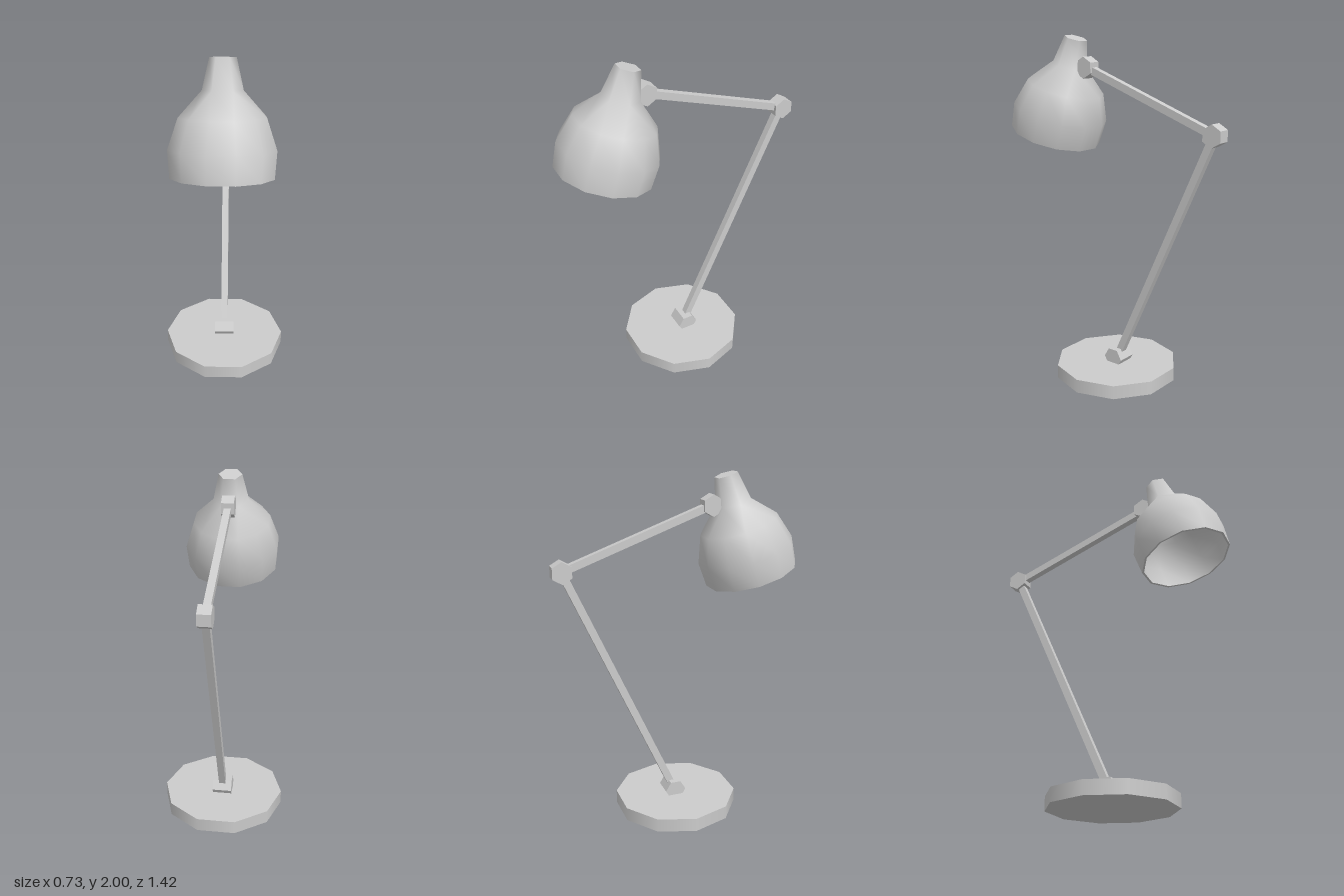
import * as THREE from 'three';
import { mergeVertices } from 'three/addons/utils/BufferGeometryUtils.js';

const smooth = new THREE.MeshStandardMaterial({ color: 0xcccccc });
const flat = new THREE.MeshStandardMaterial({ color: 0xcccccc, flatShading: true });

function addMesh(parent, name, geometry, material) {
  const mesh = new THREE.Mesh(geometry, material);
  mesh.name = name;
  parent.add(mesh);
  return mesh;
}

// Six-sided pivot lying across x; turn sets where its first corner points
function addJoint(parent, name, [y, z], width, turn) {
  const geometry = new THREE.CylinderGeometry(0.062, 0.062, width, 6, 1, false, turn);
  geometry.rotateZ(Math.PI / 2);
  addMesh(parent, name, geometry, flat).position.set(0, y, z);
}

// Square bar between two points in the x = 0 plane
function addArm(parent, name, [y0, z0], [y1, z1]) {
  const length = Math.hypot(y1 - y0, z1 - z0);
  const arm = addMesh(parent, name, new THREE.BoxGeometry(0.04, length, 0.042), flat);
  arm.position.set(0, (y0 + y1) / 2, (z0 + z1) / 2);
  arm.rotation.x = Math.atan2(z1 - z0, y1 - y0);
}

// Skin through rings [height, radius, sides]; on six-sided rings the
// twelve corners meet in pairs
function loft(rings) {
  const positions = [];
  const index = [];
  rings.forEach(([y, r, sides], i) => {
    for (let j = 0; j < 12; j++) {
      const degrees = sides === 6 ? Math.floor((j + 1) / 2) % 6 * 60 : 15 + j * 30;
      const a = THREE.MathUtils.degToRad(degrees);
      positions.push(r * Math.cos(a), y, r * Math.sin(a));
      if (i < rings.length - 1) {
        const k = (j + 1) % 12;
        const a0 = i * 12 + j, b0 = i * 12 + k;
        index.push(a0, b0, a0 + 12, b0, b0 + 12, a0 + 12);
      }
    }
  });
  const geometry = new THREE.BufferGeometry();
  geometry.setAttribute('position', new THREE.Float32BufferAttribute(positions, 3));
  geometry.setIndex(index);
  const merged = mergeVertices(geometry, 1e-4);
  merged.computeVertexNormals();
  return merged;
}

function createShade() {
  const shade = new THREE.Group();
  shade.name = 'shade';
  const wall = 0.012;
  const profile = [
    [0.59, 0.067, 6],
    [0.43, 0.103, 6],
    [0.299, 0.226, 12],
    [0.143, 0.279, 12],
    [0, 0.269, 12],
  ];
  addMesh(shade, 'shadeOuter', loft(profile), smooth);

  // Inner wall, listed from rim to neck so that it faces inward
  const inner = profile.map(([y, r, n]) => [y > 0 ? y - wall : 0, r - wall, n]).reverse();
  addMesh(shade, 'shadeInner', loft(inner), smooth);

  // Rim lip and neck cap
  const lip = new THREE.RingGeometry(0.269 - wall, 0.269, 12, 1, Math.PI / 12);
  addMesh(shade, 'shadeLip', lip.rotateX(Math.PI / 2), smooth);
  const cap = new THREE.CircleGeometry(0.067, 6).rotateX(-Math.PI / 2);
  addMesh(shade, 'neckCap', cap, smooth).position.y = 0.59;
  const ceiling = new THREE.CircleGeometry(0.067 - wall, 6).rotateX(Math.PI / 2);
  addMesh(shade, 'neckCeiling', ceiling, smooth).position.y = 0.59 - wall;

  shade.position.set(0, 1.418, 0.46);
  shade.rotation.x = -0.291;
  return shade;
}

export function createModel() {
  const lamp = new THREE.Group();
  lamp.name = 'deskLamp';

  // Ten-sided foot
  const foot = new THREE.CylinderGeometry(0.363, 0.363, 0.08, 10, 1, false, Math.PI / 2);
  addMesh(lamp, 'base', foot, smooth).position.set(0, 0.04, -0.008);

  // Pivots and arms, as [y, z]
  const foothold = [0.11, -0.026], elbow = [1.508, -0.655], wrist = [1.82, 0.207];
  addJoint(lamp, 'baseJoint', foothold, 0.115, 0);
  addJoint(lamp, 'elbowJoint', elbow, 0.072, Math.PI / 2);
  addJoint(lamp, 'shadeJoint', wrist, 0.072, Math.PI / 2);
  addArm(lamp, 'lowerArm', foothold, elbow);
  addArm(lamp, 'upperArm', elbow, wrist);

  lamp.add(createShade());
  return lamp;
}
